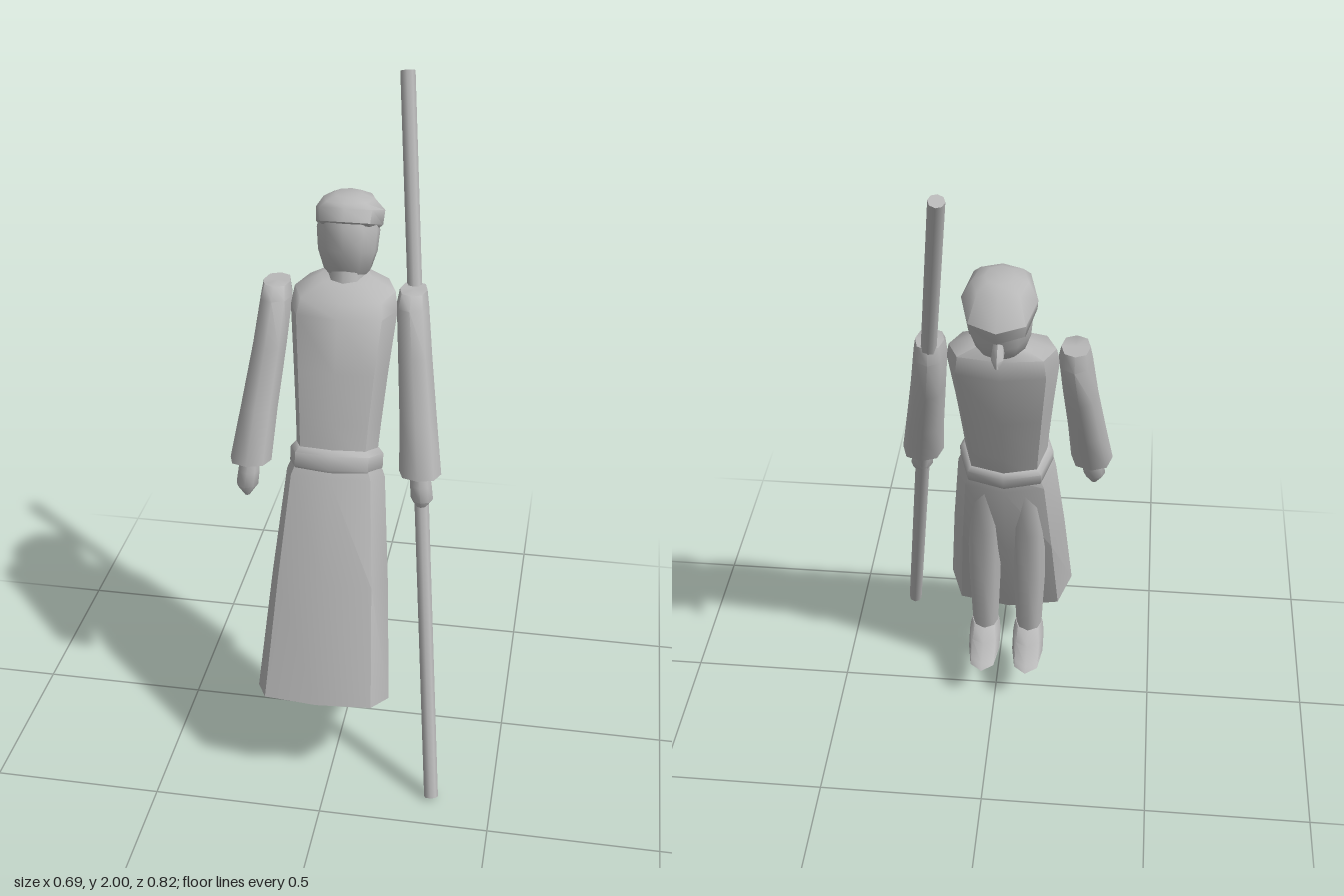
import * as THREE from 'three';
import { toCreasedNormals } from 'three/addons/utils/BufferGeometryUtils.js';

const MID = -0.03; // the body's own centre line in x

// Closed skin over rings listed bottom to top: [x, y, z, radiusX, radiusZ, slope in z]
function loft(rings, sides = 8, corner = 1) {
  const pos = [], idx = [];
  for (const [x, y, z, rx, rz, slope = 0] of rings) {
    for (let j = 0; j < sides; j++) {
      const a = (j / sides) * Math.PI * 2;
      const k = 1 + (corner - 1) * Math.sin(2 * a) ** 2;
      const dz = Math.cos(a) * rz * k;
      pos.push(x + Math.sin(a) * rx * k, y + slope * dz, z + dz);
    }
  }
  const last = rings.length - 1;
  for (let i = 0; i < last; i++) {
    for (let j = 0; j < sides; j++) {
      const a = i * sides + j, b = i * sides + (j + 1) % sides;
      idx.push(a, b, a + sides, b, b + sides, a + sides);
    }
  }
  // end caps
  const c = pos.length / 3;
  pos.push(...rings[0].slice(0, 3), ...rings[last].slice(0, 3));
  for (let j = 0; j < sides; j++) {
    const n = (j + 1) % sides, t = last * sides;
    idx.push(c, n, j, c + 1, t + j, t + n);
  }
  const geo = new THREE.BufferGeometry();
  geo.setAttribute('position', new THREE.Float32BufferAttribute(pos, 3));
  geo.setIndex(idx);
  return toCreasedNormals(geo, 1.0);
}

// Rod between two points
function rod(from, to, r0, r1, sides) {
  const dir = to.clone().sub(from);
  const geo = new THREE.CylinderGeometry(r1, r0, dir.length(), sides);
  geo.applyQuaternion(new THREE.Quaternion().setFromUnitVectors(new THREE.Vector3(0, 1, 0), dir.normalize()));
  const mid = from.clone().add(to).multiplyScalar(0.5);
  return geo.translate(mid.x, mid.y, mid.z);
}

export function createModel() {
  const group = new THREE.Group();
  const grey = new THREE.MeshStandardMaterial({ color: 0xb8b8b8 });
  grey.name = 'plain grey';
  const add = (name, geo) => {
    const mesh = new THREE.Mesh(geo, grey);
    mesh.name = name;
    group.add(mesh);
  };

  // Long robe skirt, leaning with the body
  add('skirt', loft([
    [MID, 0.26, 0.26, 0.2, 0.12, 0.33],
    [MID, 0.6, 0.138, 0.175, 0.117, 0.33],
    [MID, 0.9, 0.035, 0.147, 0.108, 0.33],
    [MID, 0.95, 0.02, 0.125, 0.095, 0.33],
  ], 8, 1.13));

  add('belt', loft([
    [MID, 0.91, 0.03, 0.128, 0.1, 0.33],
    [MID, 0.925, 0.027, 0.139, 0.11, 0.33],
    [MID, 0.965, 0.014, 0.139, 0.11, 0.33],
    [MID, 0.98, 0.008, 0.125, 0.098, 0.33],
  ], 8, 1.1));

  add('torso', loft([
    [MID, 0.95, 0.018, 0.12, 0.095, 0.33],
    [MID, 1.05, -0.012, 0.127, 0.098, 0.33],
    [MID, 1.2, -0.055, 0.14, 0.105, 0.25],
    [MID, 1.37, -0.11, 0.157, 0.11, 0.05],
    [MID, 1.42, -0.13, 0.148, 0.095, -0.1],
    [MID, 1.455, -0.145, 0.075, 0.06, -0.1],
  ], 8, 1.12));

  add('neck', loft([
    [MID, 1.4, -0.135, 0.055, 0.055, 0.3],
    [MID, 1.53, -0.175, 0.05, 0.05, 0.3],
  ]));

  add('head', loft([
    [MID, 1.435, -0.18, 0.04, 0.045, -0.1],
    [MID, 1.465, -0.178, 0.07, 0.072, 0.1],
    [MID, 1.52, -0.178, 0.087, 0.09, 0.3],
    [MID, 1.58, -0.19, 0.092, 0.1, 0.38],
    [MID, 1.63, -0.21, 0.085, 0.09, 0.38],
  ], 10));

  // Hooked nose pointing away from +z
  add('nose', loft([
    [MID, 1.465, -0.305, 0.006, 0.008],
    [MID, 1.485, -0.28, 0.019, 0.033],
    [MID, 1.51, -0.27, 0.016, 0.022],
    [MID, 1.545, -0.26, 0.007, 0.008],
  ], 6));

  add('cap', loft([
    [MID, 1.585, -0.2, 0.088, 0.098, 0.4],
    [MID, 1.592, -0.205, 0.098, 0.113, 0.4],
    [MID, 1.63, -0.225, 0.101, 0.112, 0.35],
    [MID, 1.67, -0.205, 0.075, 0.078, 0.1],
    [MID, 1.685, -0.2, 0.04, 0.045, 0.05],
  ], 8, 1.06));

  for (const s of [1, -1]) {
    const side = s > 0 ? 'left' : 'right';
    const x = (d) => MID + s * d;

    // Sleeve flaring to an open-looking cuff
    add(side + 'Sleeve', loft([
      [x(0.253), 0.93, 0.048, 0.062, 0.066, 0.1],
      [x(0.236), 1.08, -0.01, 0.055, 0.068, 0.2],
      [x(0.215), 1.25, -0.075, 0.05, 0.07, 0.2],
      [x(0.2), 1.39, -0.118, 0.047, 0.075, 0.1],
      [x(0.2), 1.432, -0.13, 0.04, 0.055, 0],
    ], 8, 1.05));

    add(side + 'Hand', loft([
      [x(0.262), 0.82, 0.07, 0.008, 0.01],
      [x(0.262), 0.855, 0.066, 0.033, 0.034],
      [x(0.257), 0.9, 0.06, 0.032, 0.033],
      [x(0.252), 0.96, 0.045, 0.024, 0.026],
    ]));

    // Legs, with the knees pushing through the skirt
    add(side + 'Leg', loft([
      [x(0.071), 0.19, 0.078, 0.04, 0.044],
      [x(0.071), 0.44, 0.06, 0.05, 0.048],
      [x(0.068), 0.65, 0.032, 0.052, 0.052],
      [x(0.06), 0.85, -0.005, 0.045, 0.05],
    ]));

    add(side + 'Foot', loft([
      [x(0.071), 0.143, 0.02, 0.05, 0.107, 0.07],
      [x(0.071), 0.158, 0.032, 0.05, 0.095, 0.15],
      [x(0.071), 0.19, 0.062, 0.05, 0.066, 0.25],
      [x(0.071), 0.217, 0.081, 0.045, 0.047, 0],
    ], 8, 1.05));
  }

  add('staff', rod(new THREE.Vector3(0.321, 0.008, 0.388), new THREE.Vector3(0.107, 1.992, -0.388), 0.021, 0.022, 8));
  return group;
}
